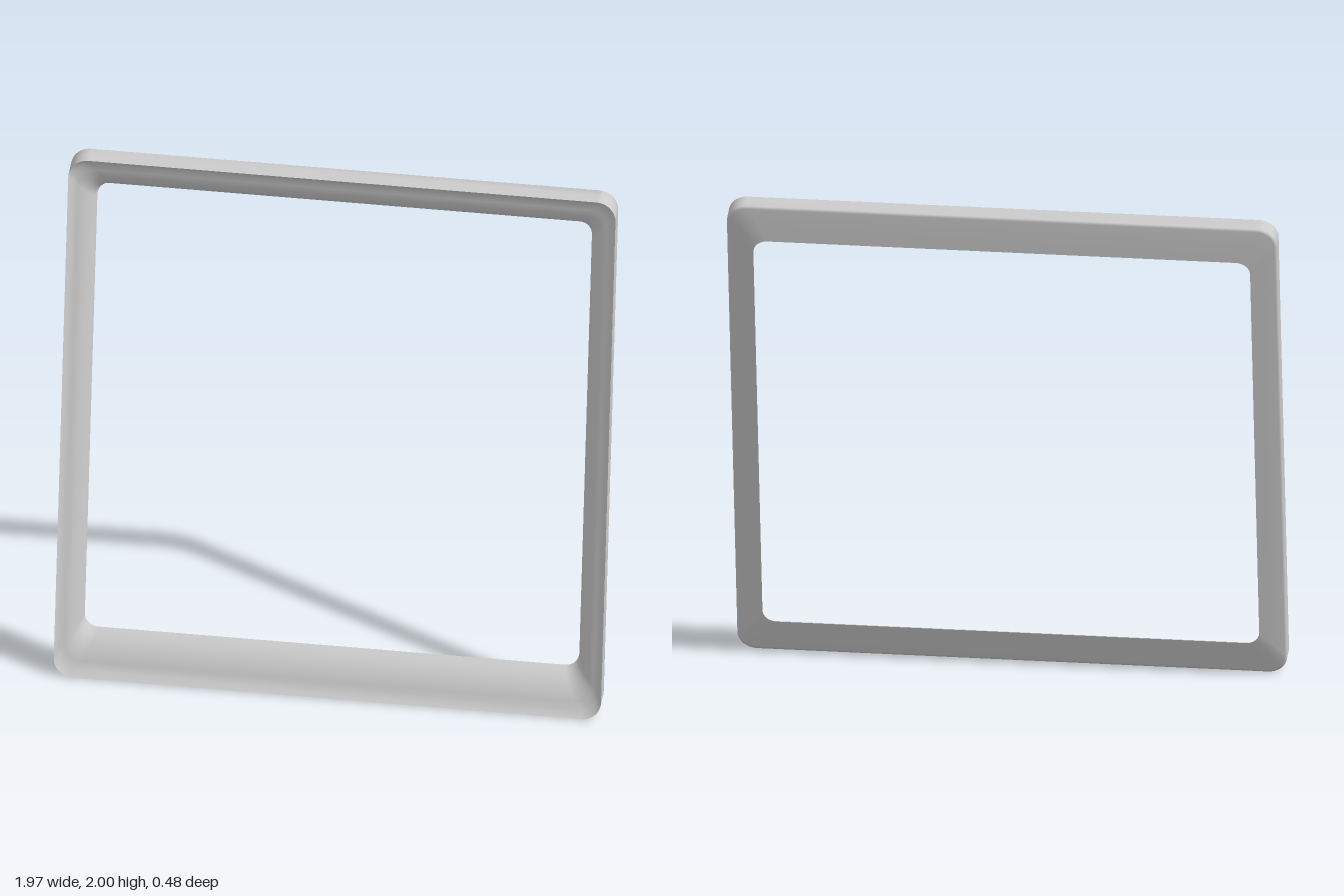
import * as THREE from 'three';

const HALF_W = 0.985, INSET_X = 0.095, INSET_Y = 0.14, LEAN = 0.205, CORNER_STEPS = 10;

// Rounded-rectangle loop, counter-clockwise; inset runs 0 (outer edge) to 1 (opening)
function frameLoop(inset, depth) {
  const hx = HALF_W - INSET_X * inset, hy = 1 - INSET_Y * inset;
  const r = THREE.MathUtils.lerp(0.07, 0.05, inset);
  const points = [];
  [[1, 1], [-1, 1], [-1, -1], [1, -1]].forEach(([sx, sy], q) => {
    for (let k = 0; k <= CORNER_STEPS; k++) {
      const a = (q + k / CORNER_STEPS) * Math.PI / 2;
      const x = sx * (hx - r) + r * Math.cos(a);
      const y = sy * (hy - r) + r * Math.sin(a);
      points.push([x, y + 1, depth - LEAN * y]); // lean the frame backwards
    }
  });
  return points;
}

// Skin a run of [inset, depth] section points around the frame
function sweep(name, section, material) {
  const loops = section.map(([inset, depth]) => frameLoop(inset, depth));
  const n = loops[0].length, index = [];
  for (let i = 0; i < loops.length - 1; i++) {
    for (let j = 0; j < n; j++) {
      const k = (j + 1) % n;
      const a = i * n + j, b = i * n + k, c = a + n, d = b + n;
      index.push(a, b, c, b, d, c);
    }
  }
  const geometry = new THREE.BufferGeometry();
  geometry.setAttribute('position', new THREE.Float32BufferAttribute(loops.flat(2), 3));
  geometry.setIndex(index);
  geometry.computeVertexNormals();
  const mesh = new THREE.Mesh(geometry, material);
  mesh.name = name;
  return mesh;
}

export function createModel() {
  const group = new THREE.Group();
  group.name = 'leaningFrame';
  const material = new THREE.MeshStandardMaterial({ color: 0xcccccc });

  // Rounded front moulding, falling back towards the opening
  const front = [[0, 0.04], [0.15, 0.02], [0.35, 0.014], [0.55, 0.005], [0.75, -0.012], [0.9, -0.033], [1, -0.06]];
  // Back slope turning smoothly into the outer rim
  const back = [[1, -0.06], [0.5, -0.048], [0.08, -0.037], [0, -0.033], [0, 0.0], [0, 0.04]];

  group.add(sweep('frontMoulding', front, material));
  group.add(sweep('backAndRim', back, material));
  return group;
}
